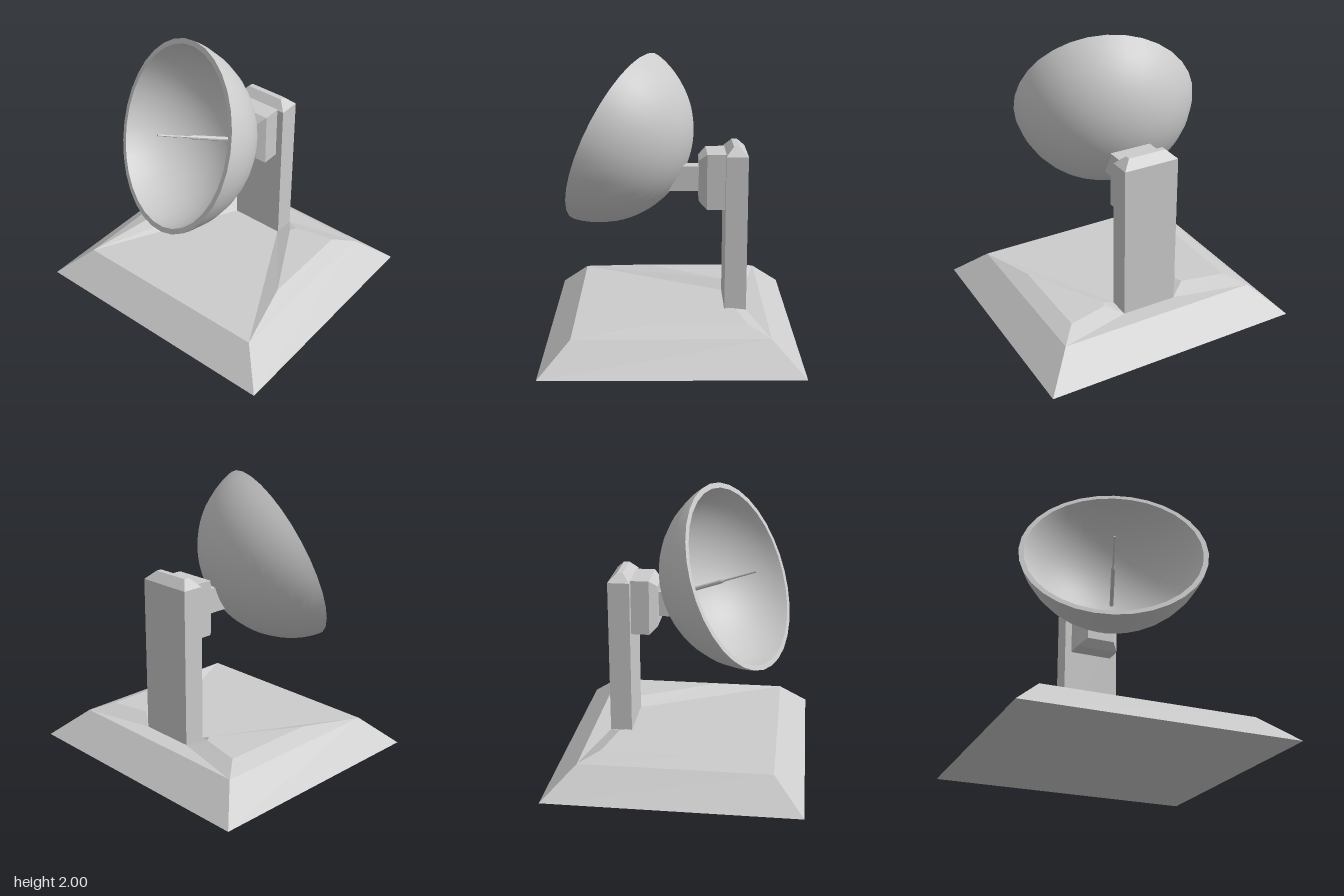
import * as THREE from 'three';

const smooth = new THREE.MeshStandardMaterial({ color: 0xcccccc });
const flat = new THREE.MeshStandardMaterial({ color: 0xcccccc, flatShading: true });

// Rectangles, counter-clockwise as seen from +y and from +z
const rectY = (y, x0, x1, z0, z1) => [[x1, y, z1], [x1, y, z0], [x0, y, z0], [x0, y, z1]];
const rectZ = (z, x0, x1, y0, y1, zTop = z) => [[x1, y0, z], [x1, y1, zTop], [x0, y1, zTop], [x0, y0, z]];

// Flat-sided solid through a row of rings, capped at both ends
function loft(name, rings) {
  const pos = [];
  const n = rings[0].length;
  const tri = (...corners) => corners.forEach((p) => pos.push(...p));
  for (let k = 0; k < rings.length - 1; k++) {
    const lo = rings[k], hi = rings[k + 1];
    for (let i = 0; i < n; i++) {
      const j = (i + 1) % n;
      tri(lo[i], lo[j], hi[j]);
      tri(lo[i], hi[j], hi[i]);
    }
  }
  const first = rings[0], last = rings[rings.length - 1];
  for (let i = 1; i < n - 1; i++) {
    tri(first[0], first[i + 1], first[i]);
    tri(last[0], last[i], last[i + 1]);
  }
  const geo = new THREE.BufferGeometry();
  geo.setAttribute('position', new THREE.Float32BufferAttribute(pos, 3));
  geo.computeVertexNormals();
  const mesh = new THREE.Mesh(geo, flat);
  mesh.name = name;
  return mesh;
}

function lathe(name, points, segments, material) {
  const geo = new THREE.LatheGeometry(points.map(([r, y]) => new THREE.Vector2(r, y)), segments);
  const mesh = new THREE.Mesh(geo, material);
  mesh.name = name;
  return mesh;
}

// Arc of a sphere from its lowest point up to the rim plane at y = 0
function bowlArc(radius, centreY, steps = 16) {
  const end = Math.acos(centreY / radius);
  return Array.from({ length: steps + 1 }, (_, i) => {
    const a = (end * i) / steps;
    return [radius * Math.sin(a), centreY - radius * Math.cos(a)];
  });
}

function createDish() {
  const dish = new THREE.Group();
  dish.name = 'dish';
  const centreY = 0.138, outerR = 0.678, innerR = 0.642;
  const outer = bowlArc(outerR, centreY);
  const inner = bowlArc(innerR, centreY).reverse();
  dish.add(lathe('dishBack', outer, 32, smooth));
  dish.add(lathe('dishRim', [outer[outer.length - 1], inner[0]], 32, smooth));
  dish.add(lathe('dishBowl', inner, 32, smooth));

  // Stepped feed rod on the dish axis
  const base = centreY - innerR - 0.01;
  const rod = lathe('feedRod', [[0, 0], [0.015, 0], [0.015, 0.35], [0.007, 0.38], [0.007, 0.64], [0, 0.64]], 8, flat);
  rod.position.y = base;
  dish.add(rod);

  // Aim up and to one side
  const aim = new THREE.Vector3(-0.34, 0.38, 0.86).normalize();
  dish.quaternion.setFromUnitVectors(new THREE.Vector3(0, 1, 0), aim);
  dish.position.set(-0.136, 1.39, 0.39);
  return dish;
}

export function createModel() {
  const model = new THREE.Group();
  model.name = 'dishAntenna';

  // Sloped base
  model.add(loft('base', [
    rectY(0, -0.96, 0.96, -0.89, 0.88),
    rectY(0.2, -0.75, 0.75, -0.67, 0.67),
  ]));

  // Raised panels either side of the post
  for (const s of [1, -1]) {
    const ring = (y, pts) => {
      const r = pts.map(([x, z, shift = 0]) => [s * x + shift, y, z]);
      return s > 0 ? r : r.reverse();
    };
    model.add(loft(s > 0 ? 'leftPanel' : 'rightPanel', [
      ring(0.2, [[0.75, -0.67], [0.203, -0.54, 0.015], [0.203, -0.38, 0.015], [0.75, 0.67]]),
      ring(0.252, [[0.63, -0.525], [0.325, -0.455, 0.015], [0.3, -0.41, 0.015], [0.63, 0.18]]),
    ]));
  }

  // Post with a bevelled cap
  model.add(loft('post', [
    rectY(0.19, -0.19, 0.22, -0.54, -0.385),
    rectY(1.32, -0.19, 0.22, -0.54, -0.385),
    rectY(1.38, -0.126, 0.157, -0.48, -0.44),
  ]));

  // Bracket on the post
  model.add(loft('bracket', [
    rectZ(-0.39, -0.14, 0.17, 0.93, 1.325),
    rectZ(-0.255, -0.14, 0.17, 0.93, 1.325),
    rectZ(-0.2, -0.085, 0.12, 0.98, 1.275),
  ]));

  // Arm cut at a slant to meet the dish
  model.add(loft('arm', [
    rectZ(-0.21, -0.04, 0.065, 1.04, 1.22),
    rectZ(0.015, -0.04, 0.065, 1.04, 1.22, -0.085),
  ]));

  model.add(createDish());
  return model;
}
